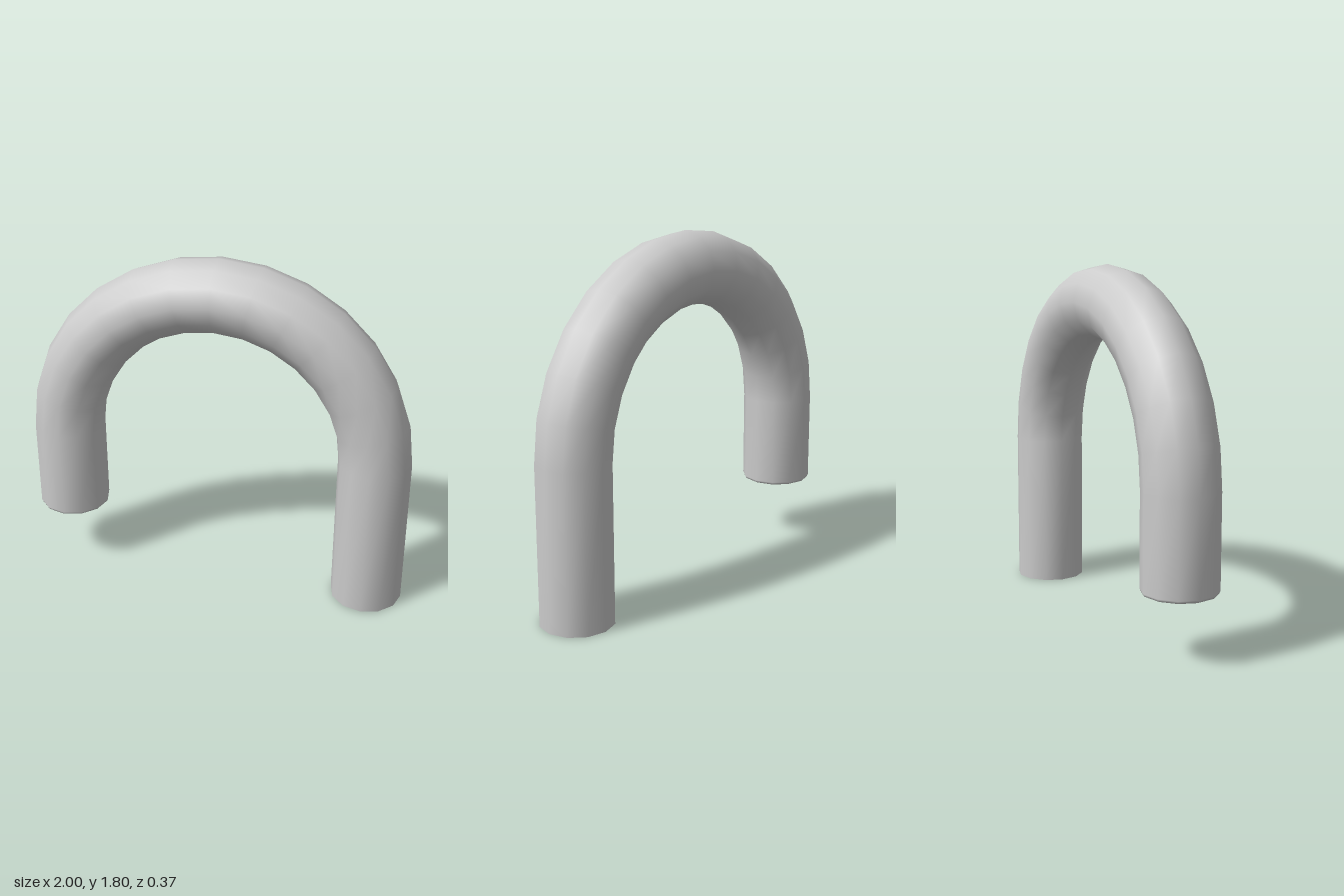
import * as THREE from 'three';

const SIDES = 12, BEND_STEPS = 14;
const TUBE = 0.1865, BEND = 1 - TUBE, BEND_Y = 0.805;
const SHORT_END = 0.325, BEVEL = 0.016;

// Smooth skin over a list of rings { x, y, angle, r }; angle points away from the bend centre
function skinRings(rings) {
  const positions = [], index = [];
  for (const { x, y, angle, r } of rings) {
    for (let j = 0; j < SIDES; j++) {
      const a = (j / SIDES) * Math.PI * 2;
      const out = r * Math.cos(a);
      positions.push(x + out * Math.cos(angle), y + out * Math.sin(angle), r * Math.sin(a));
    }
  }
  for (let i = 0; i < rings.length - 1; i++) {
    for (let j = 0; j < SIDES; j++) {
      const k = (j + 1) % SIDES;
      const a = i * SIDES + j, b = i * SIDES + k;
      const c = a + SIDES, d = b + SIDES;
      index.push(a, c, b, b, c, d);
    }
  }
  const geometry = new THREE.BufferGeometry();
  geometry.setAttribute('position', new THREE.Float32BufferAttribute(positions, 3));
  geometry.setIndex(index);
  geometry.computeVertexNormals();
  return geometry;
}

export function createModel() {
  const group = new THREE.Group();
  group.name = 'bentPipe';
  const material = new THREE.MeshStandardMaterial({ color: 0xcccccc, side: THREE.DoubleSide });

  // Long open leg, half-circle bend, short leg with a small bevel
  const rings = [{ x: BEND, y: 0, angle: 0, r: TUBE }];
  for (let i = 0; i <= BEND_STEPS; i++) {
    const angle = (i / BEND_STEPS) * Math.PI;
    rings.push({ x: BEND * Math.cos(angle), y: BEND_Y + BEND * Math.sin(angle), angle, r: TUBE });
  }
  const bevelRings = [[BEVEL, 0], [BEVEL * 0.3, BEVEL * 0.3], [0, BEVEL]];
  for (const [rise, inset] of bevelRings) {
    rings.push({ x: -BEND, y: SHORT_END + rise, angle: Math.PI, r: TUBE - inset });
  }
  const pipe = new THREE.Mesh(skinRings(rings), material);
  pipe.name = 'pipe';
  group.add(pipe);

  // Flat cap closing the short leg
  const cap = new THREE.Mesh(new THREE.CircleGeometry(TUBE - BEVEL, SIDES), material);
  cap.name = 'endCap';
  cap.rotation.x = Math.PI / 2;
  cap.position.set(-BEND, SHORT_END, 0);
  group.add(cap);

  return group;
}
